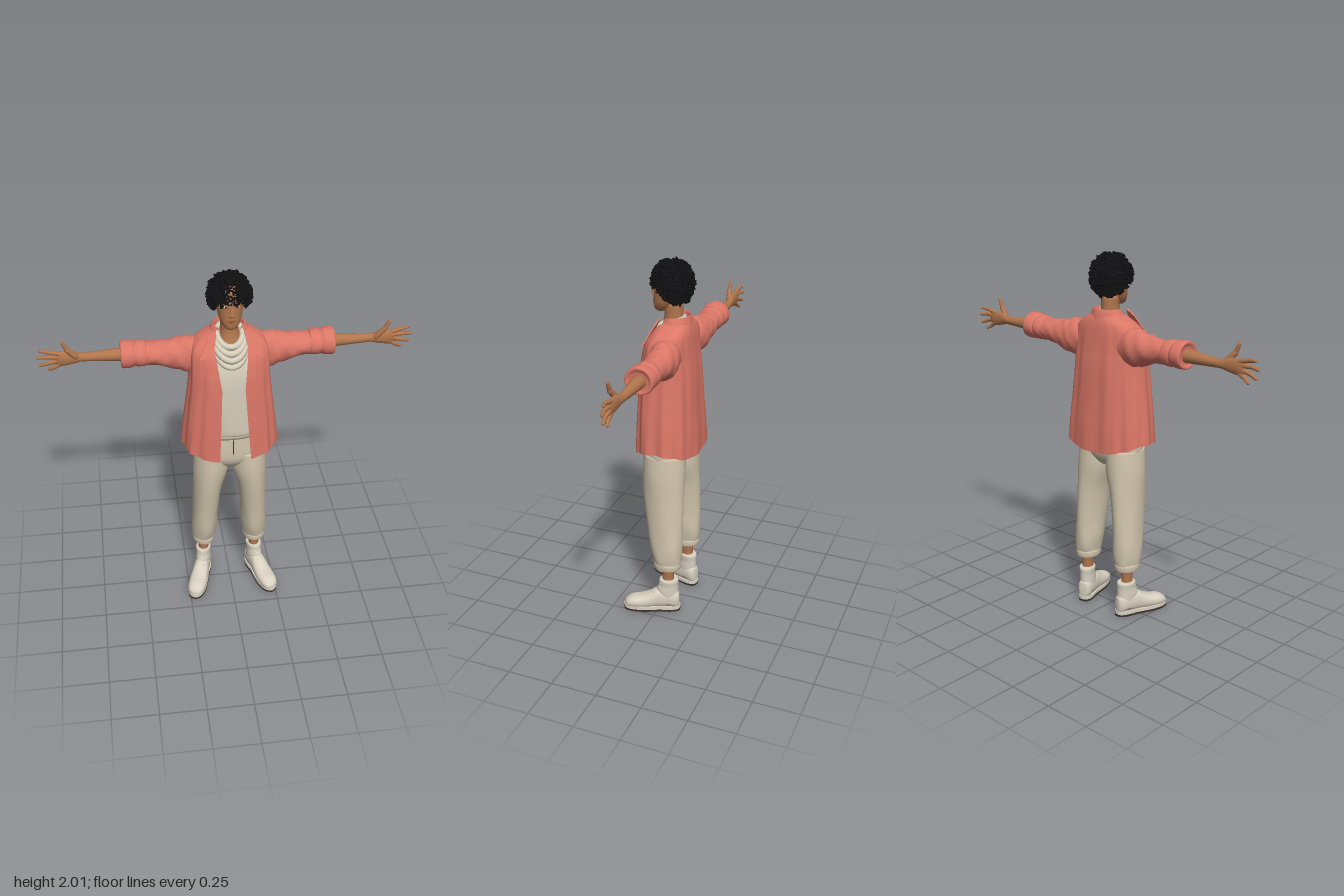
import * as THREE from 'three';
import { mergeGeometries } from 'three/addons/utils/BufferGeometryUtils.js';

const paint = (name, color) => {
  const m = new THREE.MeshStandardMaterial({ color, side: THREE.DoubleSide });
  m.name = name;
  return m;
};
const power = (v, p) => Math.sign(v) * Math.abs(v) ** (2 / p);
const cubic = (a, b, c, d, t) => 0.5 * (2 * b + (c - a) * t + (2 * a - 5 * b + 4 * c - d) * t * t + (3 * b - a - 3 * c + d) * t ** 3);

// Skin over oval sections. Rows are [position, centreU, centreV, radiusU, radiusV];
// axis x uses U=y V=z, axis y uses U=z V=x, axis z uses U=x V=y.
function loft(axis, rows, { n = 28, p = 2, steps = 3, fold = () => 0, shift = () => 0, gap = null, cap = true } = {}) {
  const W = { x: 0, y: 1, z: 2 }[axis], U = (W + 1) % 3, V = (W + 2) % 3;
  const rings = (rows.length - 1) * steps, pos = [], idx = [];
  const sample = (i) => {
    const k = Math.min(Math.floor(i / steps), rows.length - 2), t = i / steps - k;
    const at = (j) => rows[Math.max(0, Math.min(rows.length - 1, j))];
    return rows[0].map((_, c) => cubic(at(k - 1)[c], at(k)[c], at(k + 1)[c], at(k + 2)[c], t));
  };
  const push = (w, u, v) => { const q = []; q[W] = w; q[U] = u; q[V] = v; pos.push(...q); };
  const count = gap ? n + 1 : n;
  for (let i = 0; i <= rings; i++) {
    const [w, cu, cv, ru, rv] = sample(i), f = i / rings;
    const [a0, a1] = gap ? gap(w, rv) : [0, 2 * Math.PI];
    for (let j = 0; j < count; j++) {
      const a = a0 + (a1 - a0) * j / n, s = 1 + fold(a, f);
      push(w + shift(a, f), cu + ru * s * power(Math.cos(a), p), cv + rv * s * power(Math.sin(a), p));
    }
  }
  for (let i = 0; i < rings; i++) for (let j = 0; j < n; j++) {
    const a = i * count + j, b = i * count + (j + 1) % count;
    idx.push(a, b, b + count, a, b + count, a + count);
  }
  if (cap && !gap) for (const i of [0, rings]) {
    const [w, cu, cv] = sample(i), c = pos.length / 3;
    push(w, cu, cv);
    for (let j = 0; j < n; j++) {
      const a = i * n + j, b = i * n + (j + 1) % n;
      if (i) idx.push(c, a, b); else idx.push(c, b, a);
    }
  }
  const g = new THREE.BufferGeometry();
  g.setAttribute('position', new THREE.Float32BufferAttribute(pos, 3));
  g.setIndex(idx);
  g.computeVertexNormals();
  return g;
}

// Tapered round-ended rod between two points
function limb(from, to, r1, r2) {
  const a = new THREE.Vector3(...from), d = new THREE.Vector3(...to).sub(a), len = d.length(), pts = [];
  for (let i = 0; i <= 4; i++) { const t = i * Math.PI / 8; pts.push(new THREE.Vector2(r1 * Math.sin(t), -r1 * Math.cos(t))); }
  for (let i = 0; i <= 4; i++) { const t = i * Math.PI / 8; pts.push(new THREE.Vector2(r2 * Math.cos(t), len + r2 * Math.sin(t))); }
  const g = new THREE.LatheGeometry(pts, 10);
  g.applyQuaternion(new THREE.Quaternion().setFromUnitVectors(new THREE.Vector3(0, 1, 0), d.normalize()));
  return g.translate(a.x, a.y, a.z);
}
const ball = (x, y, z, rx, ry, rz) => new THREE.SphereGeometry(1, 16, 12).scale(rx, ry, rz).translate(x, y, z);
const box = (x, y, z, w, h, d) => new THREE.BoxGeometry(w, h, d).translate(x, y, z);

function mirrored(g) {
  const m = g.clone();
  if (!m.index) m.setIndex([...Array(m.attributes.position.count).keys()]);
  m.scale(-1, 1, 1);
  const ix = m.index.array;
  for (let i = 0; i < ix.length; i += 3) [ix[i], ix[i + 1]] = [ix[i + 1], ix[i]];
  return m;
}

export function createModel() {
  const model = new THREE.Group();
  model.name = 'standingMan';
  const skin = paint('skin', 0xb0754d), lip = paint('lips', 0x8a5238), hair = paint('hair', 0x121214);
  const coral = paint('coral shirt', 0xdb7767), cream = paint('cream trousers', 0xd0c4ac);
  const knit = paint('off-white top', 0xd6cdba), boot = paint('boot leather', 0xd8d0c0);
  const rubber = paint('dark sole', 0x3a332d), white = paint('eye white', 0xe6ddd0);
  const add = (name, g, mat) => { const m = new THREE.Mesh(g, mat); m.name = name; model.add(m); };
  const pair = (name, g, mat) => { add('left ' + name, g, mat); add('right ' + name, mirrored(g), mat); };

  // Head, neck and face
  add('head', loft('y', [[1.724, 0.05, 0, 0.02, 0.018], [1.737, 0.04, 0, 0.043, 0.036], [1.765, 0.026, 0, 0.061, 0.053],
    [1.8, 0.01, 0, 0.076, 0.063], [1.85, -0.004, 0, 0.088, 0.07], [1.9, -0.006, 0, 0.092, 0.071], [1.95, -0.008, 0, 0.075, 0.055], [1.97, -0.01, 0, 0.03, 0.02]]), skin);
  add('neck', loft('y', [[1.56, -0.01, 0, 0.085, 0.09], [1.64, -0.02, 0, 0.062, 0.06], [1.7, -0.022, 0, 0.05, 0.046], [1.78, -0.02, 0, 0.052, 0.047]]), skin);
  add('nose', mergeGeometries([limb([0, 1.858, 0.078], [0, 1.815, 0.092], 0.008, 0.011), ball(0.01, 1.811, 0.084, 0.008, 0.007, 0.01), ball(-0.01, 1.811, 0.084, 0.008, 0.007, 0.01)]), skin);
  add('mouth', mergeGeometries([ball(0, 1.782, 0.084, 0.021, 0.004, 0.006), ball(0, 1.776, 0.084, 0.017, 0.004, 0.007)]), lip);
  pair('ear', ball(0.077, 1.842, -0.018, 0.01, 0.03, 0.018).rotateZ(0), skin);
  pair('eye', ball(0.029, 1.858, 0.076, 0.012, 0.005, 0.004), white);
  pair('iris', ball(0.029, 1.858, 0.079, 0.005, 0.005, 0.003), hair);
  pair('eyebrow', limb([0.014, 1.873, 0.084], [0.045, 1.876, 0.068], 0.004, 0.003), hair);

  // Curly hair: a cap with a raised hairline, covered in small ringlets
  const hairline = (z) => 1.83 + 0.7 * z;
  const centre = new THREE.Vector3(0, 1.875, -0.014), size = new THREE.Vector3(0.1, 0.111, 0.101);
  const cap = new THREE.SphereGeometry(1, 40, 28), q = new THREE.Vector3(), P = cap.attributes.position;
  for (let i = 0; i < P.count; i++) {
    q.fromBufferAttribute(P, i).multiply(size);
    q.multiplyScalar(1 + 0.03 * Math.sin(q.x * 190) * Math.sin(q.y * 170) * Math.cos(q.z * 180));
    if (q.y + centre.y < hairline(q.z + centre.z)) q.multiplyScalar(0.62);
    P.setXYZ(i, q.x + centre.x, q.y + centre.y, q.z + centre.z);
  }
  cap.computeVertexNormals();
  add('hair cap', cap, hair);
  let seed = 7;
  const rnd = () => (seed = (seed * 16807) % 2147483647) / 2147483647;
  const curls = [];
  for (let i = 0; i < 460; i++) {
    const y = 1 - 2 * (i + 0.5) / 460, r = Math.sqrt(1 - y * y), a = i * 2.39996;
    q.set(r * Math.cos(a), y, r * Math.sin(a)).multiply(size).multiplyScalar(0.99 + 0.07 * rnd()).add(centre);
    if (q.y < hairline(q.z) - 0.012) continue;
    curls.push(new THREE.TorusGeometry(0.009 + 0.007 * rnd(), 0.0055, 5, 9, 4 + 2 * rnd())
      .rotateX(rnd() * 6).rotateY(rnd() * 6).translate(q.x, q.y, q.z));
  }
  add('curls', mergeGeometries(curls), hair);

  // Top with a draped cowl
  add('top', loft('y', [[1.1, -0.01, 0, 0.128, 0.18], [1.14, -0.01, 0, 0.132, 0.182], [1.3, -0.01, 0, 0.135, 0.18], [1.45, -0.01, 0, 0.132, 0.18],
    [1.54, -0.015, 0, 0.118, 0.165], [1.6, -0.02, 0, 0.095, 0.13], [1.63, -0.025, 0, 0.075, 0.09]],
  { p: 2.2, n: 48, fold: (a, f) => 0.012 * Math.sin(5 * a + 9 * f) }), knit);
  [[1.69, 1.625, 0.066, 0.07, 0.017], [1.685, 1.595, 0.075, 0.088, 0.018], [1.67, 1.565, 0.08, 0.105, 0.018], [1.655, 1.53, 0.084, 0.112, 0.016]].forEach(([back, front, rx, zf, r], k) => {
    const pts = [];
    for (let i = 0; i < 16; i++) {
      const a = i * Math.PI / 8, c = (1 + Math.cos(a)) / 2;
      pts.push(new THREE.Vector3(rx * Math.sin(a), back + (front - back) * c ** 1.6, -0.075 + (zf + 0.075) * c));
    }
    add('cowl fold ' + (k + 1), new THREE.TubeGeometry(new THREE.CatmullRomCurve3(pts, true), 48, r, 8, true), knit);
  });

  // Open shirt: the gap follows the front edges, folds deepen toward the hem
  const edge = (y, low, mid, top) => y < 1.4 ? low + (mid - low) * (y - 0.96) / 0.44 : mid + (top - mid) * Math.min(1, (y - 1.4) / 0.2);
  const angle = (x, rx) => Math.asin(Math.min(0.9, x / rx) ** 1.25);
  add('shirt body', loft('y', [[0.955, -0.015, 0, 0.162, 0.258], [1.08, -0.013, 0, 0.16, 0.248], [1.2, -0.01, 0, 0.155, 0.236], [1.4, -0.009, 0, 0.145, 0.214],
    [1.5, -0.01, 0, 0.133, 0.21], [1.58, -0.017, 0, 0.119, 0.205], [1.63, -0.03, 0, 0.1, 0.178], [1.665, -0.038, 0, 0.083, 0.125], [1.69, -0.04, 0, 0.065, 0.08]], {
    p: 2.5, n: 110, steps: 5,
    gap: (y, rx) => [angle(edge(y, 0.1, 0.066, 0.085), rx), 2 * Math.PI - angle(edge(y, 0.07, 0.055, 0.085), rx)],
    fold: (a, f) => (1 - f) * (0.022 * Math.sin(11 * a + 2 * f) + 0.012 * Math.sin(19 * a - 3 * f)),
    shift: (a, f) => 0.055 * Math.sin(a) ** 2 * Math.max(0, 1 - 2 * f),
  }), coral);
  add('collar', loft('y', [[1.64, -0.035, 0, 0.092, 0.125], [1.685, -0.04, 0, 0.077, 0.097], [1.715, -0.042, 0, 0.066, 0.08], [1.69, -0.042, 0, 0.06, 0.072]], {
    n: 40, gap: () => [0.85, 2 * Math.PI - 0.85], shift: (a, f) => -0.025 * Math.max(0, Math.cos(a)) * f }), coral);
  const flap = new THREE.Shape([[0.078, 0.15], [0.115, 0.115], [0.168, -0.005], [0.125, 0.01], [0.088, 0.045], [0.072, 0.12]].map((v) => new THREE.Vector2(...v)));
  pair('collar point', new THREE.ExtrudeGeometry(flap, { depth: 0.008, bevelEnabled: false }).rotateX(-0.45).translate(0, 1.57, 0.085), coral);
  const wrinkle = (a, f) => 0.03 * Math.sin(3 * a + 20 * f) + 0.015 * Math.sin(5 * a - 31 * f);
  pair('sleeve', loft('x', [[0.12, 1.54, -0.045, 0.08, 0.07], [0.2, 1.535, -0.052, 0.1, 0.08], [0.27, 1.535, -0.058, 0.087, 0.076],
    [0.36, 1.543, -0.062, 0.064, 0.071], [0.46, 1.546, -0.063, 0.06, 0.066]], { n: 32, steps: 7, fold: wrinkle }), coral);
  pair('rolled cuff', loft('x', [[0.425, 1.548, -0.063, 0.05, 0.055], [0.43, 1.548, -0.063, 0.064, 0.07], [0.47, 1.549, -0.063, 0.068, 0.074], [0.485, 1.549, -0.063, 0.063, 0.068],
    [0.5, 1.55, -0.063, 0.07, 0.075], [0.545, 1.55, -0.063, 0.072, 0.077], [0.557, 1.55, -0.063, 0.064, 0.068], [0.548, 1.55, -0.063, 0.045, 0.048]],
  { n: 32, fold: (a, f) => 0.4 * wrinkle(a, f * 0.5) }), coral);

  // Forearms and open hands
  pair('forearm', loft('x', [[0.46, 1.547, -0.063, 0.036, 0.036], [0.58, 1.548, -0.064, 0.033, 0.034], [0.7, 1.546, -0.065, 0.025, 0.025], [0.76, 1.546, -0.065, 0.024, 0.02],
    [0.81, 1.547, -0.062, 0.036, 0.018], [0.86, 1.545, -0.063, 0.041, 0.016], [0.89, 1.543, -0.066, 0.033, 0.01]], { n: 20 }), skin);
  const fingers = [[0.87, 1.575, 0.92, 1.587, 0.962, 1.592], [0.875, 1.556, 0.935, 1.558, 0.978, 1.552],
    [0.875, 1.536, 0.93, 1.522, 0.968, 1.508], [0.865, 1.518, 0.9, 1.495, 0.924, 1.48]].flatMap(([x0, y0, x1, y1, x2, y2]) =>
    [limb([x0, y0, -0.064], [x1, y1, -0.064], 0.0125, 0.0105), limb([x1, y1, -0.064], [x2, y2, -0.074], 0.0105, 0.008)]);
  fingers.push(limb([0.785, 1.56, -0.055], [0.825, 1.605, -0.043], 0.018, 0.014), limb([0.825, 1.605, -0.043], [0.845, 1.65, -0.042], 0.0125, 0.009));
  pair('fingers and thumb', mergeGeometries(fingers), skin);

  // Trousers
  add('trouser hips', loft('y', [[0.86, -0.008, 0, 0.07, 0.1], [0.92, -0.008, 0, 0.112, 0.185], [1.0, -0.008, 0, 0.118, 0.192], [1.08, -0.01, 0, 0.117, 0.185], [1.125, -0.01, 0, 0.12, 0.18]], { p: 2.2, n: 40 }), cream);
  pair('trouser leg', loft('y', [[0.29, -0.045, 0.148, 0.07, 0.058], [0.33, -0.043, 0.147, 0.081, 0.067], [0.4, -0.037, 0.143, 0.092, 0.073], [0.52, -0.028, 0.137, 0.1, 0.073],
    [0.7, -0.015, 0.124, 0.113, 0.08], [0.84, -0.01, 0.104, 0.118, 0.099], [0.96, -0.008, 0.096, 0.115, 0.097]],
  { n: 40, steps: 6, fold: (a, f) => 0.02 * Math.sin(5 * a + 9 * f) * (1 - 0.7 * f) + 0.015 * Math.sin(3 * a - 14 * f) * (1 - f) }), cream);
  pair('trouser cuff', loft('y', [[0.272, -0.045, 0.148, 0.066, 0.054], [0.275, -0.045, 0.148, 0.075, 0.063], [0.305, -0.045, 0.148, 0.078, 0.066], [0.316, -0.045, 0.148, 0.07, 0.06]]), cream);
  add('waistband', loft('y', [[1.075, -0.01, 0, 0.121, 0.186], [1.118, -0.01, 0, 0.124, 0.183]], { p: 2.2, n: 40 }), cream);
  add('fly seam', box(0.006, 1.025, 0.1105, 0.004, 0.09, 0.003), rubber);
  pair('ankle', loft('y', [[0.15, -0.05, 0.15, 0.036, 0.032], [0.22, -0.05, 0.15, 0.033, 0.029], [0.32, -0.05, 0.15, 0.042, 0.038]]), skin);

  // Boots, built along +z and turned outward
  const place = (g) => g.rotateY(0.32).translate(0.15, 0, -0.055);
  const outline = new THREE.Shape();
  outline.moveTo(0, 0.066);
  outline.bezierCurveTo(0.05, 0.066, 0.042, 0, 0.042, -0.05);
  outline.bezierCurveTo(0.05, -0.11, 0.075, -0.25, 0, -0.258);
  outline.bezierCurveTo(-0.07, -0.25, -0.05, -0.11, -0.04, -0.05);
  outline.bezierCurveTo(-0.042, 0, -0.05, 0.066, 0, 0.066);
  const slab = (y, h) => place(new THREE.ExtrudeGeometry(outline, { depth: h, bevelEnabled: false, curveSegments: 10 }).rotateX(-Math.PI / 2).translate(0, y, 0));
  pair('boot tread', slab(0, 0.012), rubber);
  pair('boot welt', slab(0.012, 0.018), boot);
  pair('boot foot', place(loft('z', [[-0.06, 0, 0.065, 0.02, 0.04], [-0.045, 0, 0.07, 0.037, 0.055], [0, 0, 0.075, 0.042, 0.06], [0.06, 0, 0.075, 0.044, 0.06], [0.11, 0, 0.06, 0.049, 0.045],
    [0.16, 0, 0.05, 0.052, 0.036], [0.21, 0, 0.045, 0.048, 0.031], [0.24, 0, 0.037, 0.032, 0.021], [0.25, 0, 0.033, 0.012, 0.01]], { p: 2.3 })), boot);
  pair('boot shaft', place(loft('y', [[0.04, 0, 0, 0.055, 0.039], [0.12, 0.008, 0, 0.062, 0.042], [0.16, 0.002, 0, 0.055, 0.041], [0.19, 0, 0, 0.055, 0.044], [0.2, 0, 0, 0.05, 0.04]])), boot);
  const laces = [[0.172, 0.056], [0.153, 0.06], [0.134, 0.07], [0.117, 0.093]].map(([y, z]) => limb([-0.02, y, z - 0.008], [0.02, y, z - 0.008], 0.004, 0.004));
  pair('boot laces', place(mergeGeometries(laces)), knit);
  return model;
}
